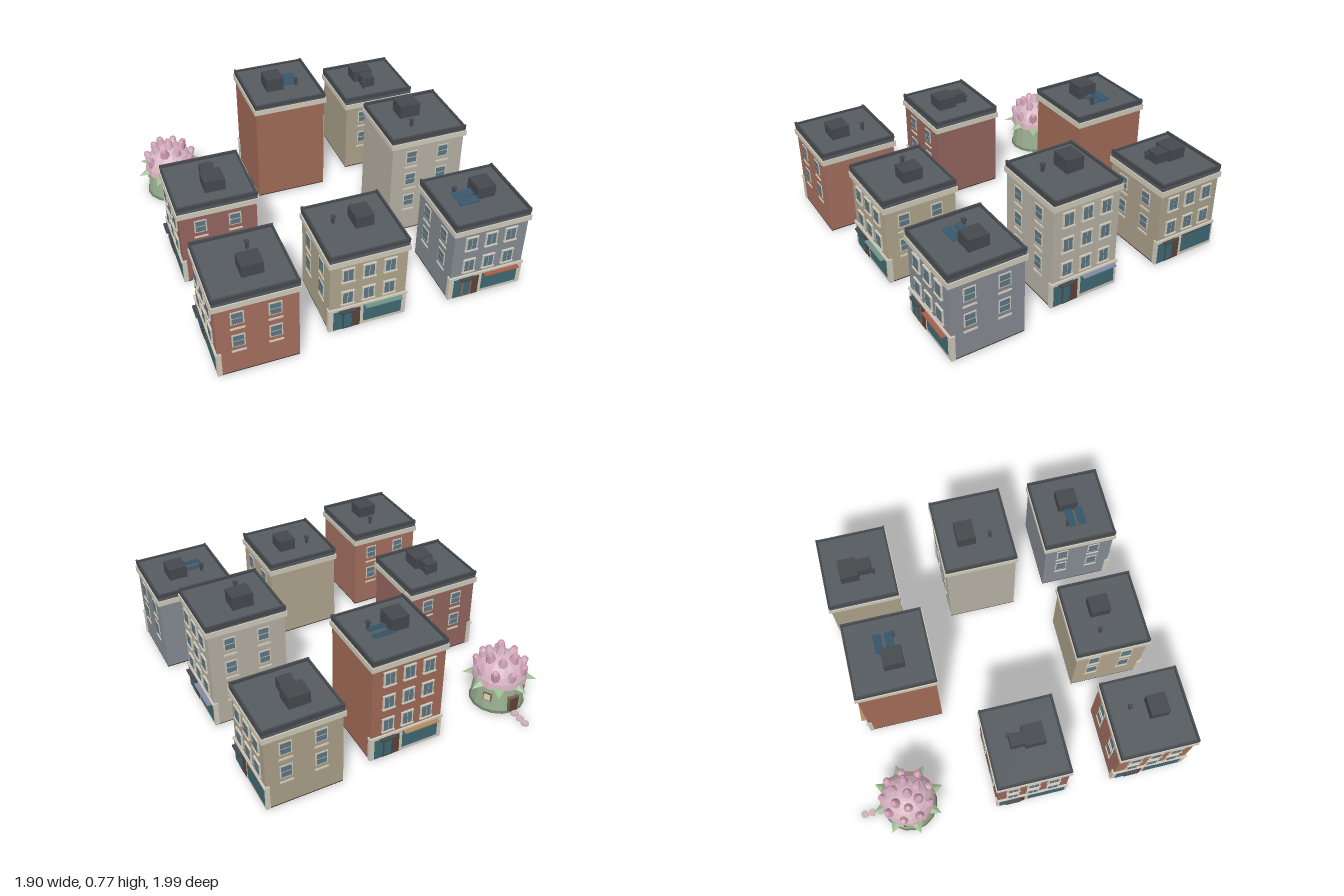
import * as THREE from 'three';

const mats = {};
const mat = (c) => (mats[c] ??= new THREE.MeshStandardMaterial({ color: c, flatShading: true, side: THREE.DoubleSide }));
const ROOF = 0x555b60, DARK = 0x45494d, TRIM = 0xcfc9ba, GLASS = 0x3f6872, PANE = 0x5d7682, BROWN = 0x5c4338;

function add(parent, name, geo, color, x = 0, y = 0, z = 0) {
  const m = new THREE.Mesh(geo, mat(color));
  m.name = name;
  m.position.set(x, y, z);
  parent.add(m);
  return m;
}

// box given by its min and max on each axis
function box(parent, name, color, x0, x1, y0, y1, z0, z1) {
  return add(parent, name, new THREE.BoxGeometry(x1 - x0, y1 - y0, z1 - z0), color,
    (x0 + x1) / 2, (y0 + y1) / 2, (z0 + z1) / 2);
}

function group(parent, name, x = 0, y = 0, z = 0, ry = 0) {
  const g = new THREE.Group();
  g.name = name;
  g.position.set(x, y, z);
  g.rotation.y = ry;
  parent.add(g);
  return g;
}

// front window: two tall panes in a frame that stands off the wall
function frontWindow(parent, x, y, z) {
  const g = group(parent, 'frontWindow', x, y, z);
  box(g, 'frame', TRIM, -0.036, 0.036, -0.043, 0.043, -0.01, 0.008);
  for (const s of [-1, 1]) add(g, 'pane', new THREE.BoxGeometry(0.025, 0.074, 0.004), PANE, s * 0.0145, 0.001, 0.008);
  box(g, 'lintel', TRIM, -0.038, 0.038, 0.04, 0.047, -0.01, 0.011);
  box(g, 'sill', TRIM, -0.04, 0.04, -0.049, -0.042, -0.01, 0.014);
}

// side window: two stacked panes with a separate ledge below
function sideWindow(parent, x, y, z) {
  const g = group(parent, 'sideWindow', x, y, z);
  box(g, 'frame', TRIM, -0.036, 0.036, -0.042, 0.042, -0.01, 0.004);
  for (const s of [-1, 1]) add(g, 'pane', new THREE.BoxGeometry(0.058, 0.032, 0.004), PANE, 0, s * 0.019, 0.004);
  box(g, 'ledge', TRIM, -0.04, 0.04, -0.078, -0.068, -0.01, 0.006);
}

// shopfront on the ground floor, facing +z at z = f
function shopfront(parent, hw, f, o) {
  const g = group(parent, 'shopfront');
  box(g, 'surround', TRIM, -hw - 0.006, hw + 0.006, 0.015, 0.168, f - 0.02, f + 0.006);
  box(g, 'fascia', TRIM, -hw - 0.009, hw + 0.009, 0.163, 0.176, f - 0.02, f + 0.012);
  box(g, 'shopWindow', GLASS, -0.025, 0.2, 0.038, 0.152, f, f + 0.009);
  box(g, 'sideLight', GLASS, -0.2, -0.148, 0.02, 0.152, f, f + 0.009);
  box(g, 'doorFrame', o.door ?? DARK, -0.148, -0.088, 0.018, 0.145, f, f + 0.01);
  box(g, 'doorGlass', GLASS, -0.139, -0.097, 0.03, 0.135, f, f + 0.012);
  box(g, 'entryWall', BROWN, -0.088, -0.045, 0.018, 0.152, f, f + 0.009);
  box(g, 'doorCanopy', DARK, -0.17, -0.08, 0.153, 0.163, f, f + 0.035);
  box(g, 'windowHead', DARK, -0.025, 0.2, 0.152, 0.158, f, f + 0.011);
  if (o.awning) box(g, 'awning', o.awning, -0.022, 0.194, 0.157, 0.164, f, f + 0.038);
}

// o.rect: outer x0, x1, z0, z1 of the cornice; turn: quarter turns of the facade from +z
function building(root, o) {
  const [x0, x1, z0, z1] = o.rect;
  const g = group(root, o.name);
  const b = group(g, 'walls', (x0 + x1) / 2, 0, (z0 + z1) / 2, o.turn * Math.PI / 2);
  const turned = o.turn % 2 !== 0;
  const W = (turned ? z1 - z0 : x1 - x0) / 2, D = (turned ? x1 - x0 : z1 - z0) / 2;
  const hw = W - 0.011, hd = D - 0.013;
  const wallTop = o.tall ? 0.645 : 0.485, corniceTop = wallTop + 0.028, top = o.tall ? 0.705 : 0.555;
  box(b, 'foundation', 0x3b2f28, -hw, hw, 0.012, 0.018, -hd, hd);
  box(b, 'body', o.color, -hw, hw, 0.018, wallTop, -hd, hd);
  box(b, 'cornice', TRIM, -W, W, wallTop - 0.005, corniceTop, -D, D);
  box(b, 'roof', ROOF, -W + 0.007, W - 0.007, corniceTop, top - 0.012, -D + 0.006, D - 0.006);
  for (const s of [-1, 1]) {
    add(b, 'sideParapet', new THREE.BoxGeometry(0.012, 0.026, 2 * D - 0.01), DARK, s * (W - 0.011), top - 0.009, 0);
    add(b, 'endParapet', new THREE.BoxGeometry(2 * W - 0.012, 0.02, 0.012), DARK, 0, top - 0.012, s * (D - 0.011));
  }
  // windows
  const rows = o.tall ? [0.247, 0.407, 0.567] : [0.247, 0.407];
  for (const y of rows) {
    for (const u of [-0.12, 0, 0.12]) frontWindow(b, u, y, hd);
    if (!o.blankSides) for (const s of [-1, 1]) {
      const wall = group(b, 'sideWall', s * hw, 0, 0, s * Math.PI / 2);
      for (const u of [-0.105, 0.095]) sideWindow(wall, u, y - 0.004, 0);
    }
  }
  shopfront(b, hw, hd, o);
  // rooftop fittings
  const r = top - 0.012, [hx, hz, hX, hZ] = o.hatch, [vx, vz] = o.vent;
  box(g, 'roofHut', DARK, hx, hX, r, o.tall ? 0.775 : 0.615, hz, hZ);
  box(g, 'ventPipe', DARK, vx - 0.008, vx + 0.008, r, r + 0.045, vz - 0.008, vz + 0.008);
  box(g, 'ventCap', DARK, vx - 0.012, vx + 0.012, r + 0.038, r + 0.048, vz - 0.012, vz + 0.012);
  if (o.unit) box(g, 'coolingUnit', DARK, o.unit[0], o.unit[2], r, 0.607, o.unit[1], o.unit[3]);
  if (o.panels) for (const i of [0, 1]) {
    const p = add(g, 'solarPanel', new THREE.BoxGeometry(0.12, 0.005, 0.048), 0x36566b,
      o.panels[0], r + 0.014, o.panels[1] + (i - 0.5) * 0.066);
    p.rotation.x = 0.2;
  }
}

// round cottage with a flower-covered roof; its door faces -z
function flowerCottage(root) {
  const g = group(root, 'flowerCottage', -0.735, 0, -0.695);
  const GREEN = 0x9bb08f, LEAF = 0x9dbd92, PINK = 0xd6b3c0, PETAL = 0xcf9db2;
  add(g, 'base', new THREE.CylinderGeometry(0.16, 0.165, 0.014, 16), 0x6d7d66, 0, 0.007, 0);
  add(g, 'wall', new THREE.CylinderGeometry(0.14, 0.158, 0.17, 16), GREEN, 0, 0.095, 0);
  const dome = add(g, 'domeRoof', new THREE.SphereGeometry(0.165, 12, 6, 0, Math.PI * 2, 0, Math.PI / 2), PINK, 0, 0.17, 0);
  dome.scale.y = 0.95;
  add(g, 'roofUnderside', new THREE.CylinderGeometry(0.165, 0.14, 0.012, 12), 0x8c5f70, 0, 0.166, 0);
  // drooping leaves under the roof edge
  for (let i = 0; i < 8; i++) {
    const leaf = group(g, 'leaf', 0, 0.185, 0, i * Math.PI / 4 + 0.15);
    const c = add(leaf, 'leafBlade', new THREE.ConeGeometry(0.055, 0.11, 4), LEAF, 0, -0.012, 0.165);
    c.scale.z = 0.5;
    c.rotation.x = Math.PI / 2 + 0.25;
  }
  // bell blossoms in rings over the dome
  const rings = [[9, 0.135, 0.245, 0.5, 0.2], [6, 0.078, 0.305, 0.28, 0.5], [1, 0.01, 0.335, 0, 0]];
  for (const [n, r, y, tilt, start] of rings) for (let i = 0; i < n; i++) {
    const spoke = group(g, 'blossom', 0, 0, 0, start + i * Math.PI * 2 / n);
    const bell = group(spoke, 'bell', 0, y + 0.01 * (i % 2), r);
    bell.rotation.x = tilt;
    add(bell, 'petals', new THREE.CylinderGeometry(0.019, 0.036, 0.06, 8, 1, true), i % 2 ? PETAL : PINK);
    add(bell, 'crown', new THREE.CylinderGeometry(0.013, 0.02, 0.01, 8), PETAL, 0, 0.034, 0);
    add(bell, 'inside', new THREE.CylinderGeometry(0.031, 0.031, 0.004, 8), 0x6b4452, 0, -0.02, 0);
  }
  box(g, 'doorFrame', 0x75644f, -0.034, 0.034, 0.014, 0.112, -0.162, -0.13);
  box(g, 'door', BROWN, -0.026, 0.026, 0.014, 0.104, -0.167, -0.13);
  for (const a of [1, -1]) {
    const w = group(g, 'cottageWindow', 0, 0.1, 0, Math.PI + a * 1.05);
    box(w, 'frame', 0x75644f, -0.026, 0.026, -0.026, 0.026, 0.12, 0.154);
    box(w, 'pane', 0xe0d6b4, -0.02, 0.02, -0.02, 0.02, 0.12, 0.157);
  }
  for (const z of [-0.185, -0.235, -0.281])
    add(g, 'steppingStone', new THREE.CylinderGeometry(0.024, 0.024, 0.01, 8), 0xcdb0b6, 0, 0.005, z);
}

export function createModel() {
  const root = new THREE.Group();
  root.name = 'townBlock';
  const list = [
    { name: 'backMiddleHouse', rect: [-0.24, 0.225, -0.85, -0.37], turn: 2, tall: true, color: 0xa06a56, blankSides: true,
      awning: 0xb08a5c, hatch: [-0.11, -0.65, 0, -0.53], vent: [0.09, -0.56], panels: [0.05, -0.62] },
    { name: 'backLeftHouse', rect: [0.4, 0.87, -0.91, -0.475], turn: 1, color: 0xaa9f89,
      hatch: [0.545, -0.8, 0.67, -0.69], vent: [0.575, -0.6], unit: [0.575, -0.69, 0.655, -0.605] },
    { name: 'middleRightHouse', rect: [-0.885, -0.41, -0.193, 0.25], turn: 3, color: 0x93655e,
      hatch: [-0.69, 0.02, -0.57, 0.14], vent: [-0.6, -0.06], unit: [-0.675, -0.06, -0.6, 0.02] },
    { name: 'middleLeftHouse', rect: [0.395, 0.875, -0.193, 0.25], turn: 1, tall: true, color: 0xb5afa2,
      awning: 0x7f8aa8, hatch: [0.545, -0.08, 0.67, 0.03], vent: [0.575, 0.12] },
    { name: 'frontRightHouse', rect: [-0.885, -0.415, 0.522, 0.99], turn: 3, color: 0xa36f5e,
      hatch: [-0.69, 0.75, -0.57, 0.86], vent: [-0.6, 0.655] },
    { name: 'frontMiddleHouse', rect: [-0.24, 0.225, 0.445, 0.9], turn: 0, color: 0xafa48c,
      awning: 0x6f9488, hatch: [-0.015, 0.59, 0.09, 0.71], vent: [-0.11, 0.62] },
    { name: 'frontLeftHouse', rect: [0.48, 0.95, 0.445, 0.9], turn: 0, color: 0x858b92, door: 0xa5674a,
      awning: 0xa3604c, hatch: [0.71, 0.59, 0.82, 0.71], vent: [0.61, 0.62], panels: [0.65, 0.68] },
  ];
  for (const o of list) building(root, o);
  flowerCottage(root);
  return root;
}
